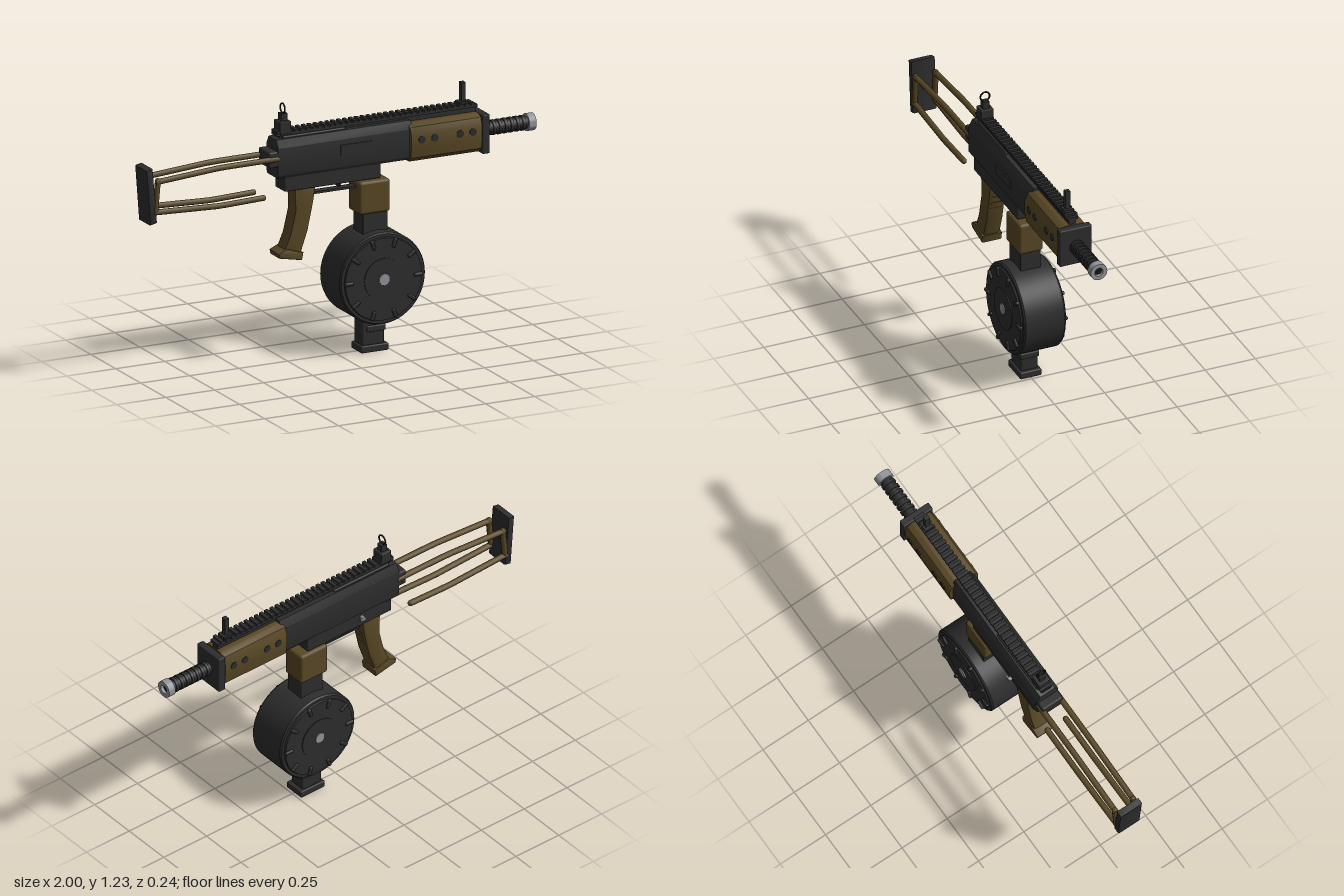
import * as THREE from 'three';
import { toCreasedNormals } from 'three/addons/utils/BufferGeometryUtils.js';
import { RoundedBoxGeometry } from 'three/addons/geometries/RoundedBoxGeometry.js';

const mat = (name, color) => new THREE.MeshStandardMaterial({ name, color });

export function createModel() {
  const root = new THREE.Group();
  const dark = mat('gunmetal', 0x2d2d2d), tan = mat('olive brown', 0x594825);
  const silver = mat('steel', 0x92959b), black = mat('black', 0x161616);

  const add = (name, geo, material, x = 0, y = 0, z = 0) => {
    const m = new THREE.Mesh(geo, material);
    m.name = name;
    m.position.set(x, y, z);
    root.add(m);
    return m;
  };
  // Box given by its limits in x and y and its half depth
  const box = (name, x0, x1, y0, y1, hz, material, r = 0) => {
    const s = [x1 - x0, y1 - y0, hz * 2];
    const g = r ? new RoundedBoxGeometry(...s, 2, r) : new THREE.BoxGeometry(...s);
    return add(name, g, material, (x0 + x1) / 2, (y0 + y1) / 2);
  };
  const extrude = (pts, depth, bevel) => {
    const g = new THREE.ExtrudeGeometry(new THREE.Shape(pts.map(p => new THREE.Vector2(...p))), {
      depth: depth - 2 * bevel, bevelEnabled: bevel > 0, bevelSize: bevel,
      bevelThickness: bevel, bevelOffset: -bevel, bevelSegments: 2 });
    return toCreasedNormals(g.translate(0, 0, bevel), 0.6);
  };
  // Side silhouette extruded symmetrically in z
  const plate = (name, pts, hz, bevel, material) =>
    add(name, extrude(pts, hz * 2, bevel), material, 0, 0, -hz);
  // Mirrored (z, y) cross-section extruded along x
  const along = (name, half, x0, x1, bevel, material) => {
    const pts = [...half, ...half.map(([z, y]) => [-z, y]).reverse()];
    return add(name, extrude(pts, x1 - x0, bevel).rotateY(Math.PI / 2), material, x0);
  };
  const cylX = (name, x0, x1, r, y, material, n = 24) =>
    add(name, new THREE.CylinderGeometry(r, r, x1 - x0, n).rotateZ(-Math.PI / 2), material, (x0 + x1) / 2, y);
  const cylZ = (name, r, z0, z1, x, y, material, n = 24) =>
    add(name, new THREE.CylinderGeometry(r, r, z1 - z0, n).rotateX(Math.PI / 2), material, x, y, (z0 + z1) / 2);

  // Receiver
  along('upperReceiver', [[0.05, 0.89], [0.06, 0.905], [0.06, 1.035], [0.04, 1.072]], -0.33, 0.36, 0.006, dark);
  box('receiverTop', -0.29, 0.03, 1.06, 1.082, 0.034, dark, 0.006);
  box('lowerReceiver', -0.29, 0.2, 0.822, 0.9, 0.05, dark, 0.006);
  add('ejectionCover', new THREE.BoxGeometry(0.16, 0.05, 0.008), dark, 0.07, 0.985, 0.061);
  cylZ('selectorPin', 0.01, -0.07, -0.045, -0.115, 0.87, silver, 12);
  add('selectorLever', new THREE.BoxGeometry(0.03, 0.012, 0.008), silver, -0.11, 0.87, -0.067);

  // Handguard with vent dots on both sides
  along('handguard', [[0.045, 0.878], [0.072, 0.9], [0.08, 0.95], [0.08, 1.01], [0.065, 1.045], [0.04, 1.06]],
    0.34, 0.705, 0.008, tan);
  for (const s of [-1, 1]) for (const x of [0.395, 0.46, 0.59, 0.655])
    cylZ('vent', 0.018, s * 0.08 - 0.003, s * 0.08 + 0.003, x, 0.985, dark, 16);
  box('frontBlock', 0.705, 0.742, 0.872, 1.058, 0.08, dark, 0.005);

  // Barrel with cooling rings and a steel muzzle
  const by = 0.967;
  cylX('barrel', 0.73, 0.97, 0.03, by, dark);
  for (let i = 0; i < 7; i++) cylX('barrelRing', 0.755 + i * 0.03, 0.77 + i * 0.03, 0.036, by, dark);
  const tip = new THREE.Shape().absarc(0, 0, 0.041, 0, Math.PI * 2);
  tip.holes.push(new THREE.Path().absarc(0, 0, 0.021, 0, Math.PI * 2, true));
  add('muzzle', toCreasedNormals(new THREE.ExtrudeGeometry(tip, { depth: 0.036, bevelEnabled: false, curveSegments: 16 })
    .rotateY(Math.PI / 2), 0.6), silver, 0.964, by);
  cylX('bore', 0.965, 0.985, 0.022, by, black, 6);

  // Top rail
  box('rail', -0.32, 0.705, 1.083, 1.097, 0.026, dark);
  box('railBase', -0.3, 0.7, 1.05, 1.085, 0.016, dark);
  for (let i = 0; i < 34; i++) box('railTooth', -0.318 + i * 0.03, -0.301 + i * 0.03, 1.095, 1.107, 0.03, dark);

  // Sights
  box('rearSightBase', -0.305, -0.248, 1.09, 1.15, 0.031, dark, 0.004);
  box('rearSightPost', -0.29, -0.26, 1.14, 1.185, 0.016, dark);
  add('rearSightRing', new THREE.TorusGeometry(0.023, 0.004, 8, 24).rotateY(Math.PI / 2), black, -0.276, 1.206);
  box('frontSightPost', 0.63, 0.651, 1.1, 1.205, 0.012, dark);
  box('frontSightBase', 0.615, 0.665, 1.095, 1.115, 0.022, dark);

  // Skeleton stock
  box('stockMount', -0.372, -0.32, 0.945, 1.02, 0.056, dark, 0.008);
  plate('buttPlate', [[-1, 1.022], [-0.968, 1.028], [-0.945, 0.768], [-0.98, 0.76]], 0.06, 0.006, dark);
  const rod = (name, pts, z) => {
    const path = new THREE.CurvePath();
    const v = pts.map(([x, y]) => new THREE.Vector3(x, y, z));
    for (let i = 1; i < v.length; i++) path.add(new THREE.LineCurve3(v[i - 1], v[i]));
    add(name, new THREE.TubeGeometry(path, 12, 0.014, 8), tan);
    add(name + 'End', new THREE.SphereGeometry(0.0138, 8, 6), tan, ...v[0].toArray());
  };
  for (const z of [-0.05, 0.05]) {
    rod('upperStockRod', [[-0.325, 0.985], [-0.62, 0.984], [-0.95, 0.96]], z);
    rod('lowerStockRod', [[-0.4, 0.81], [-0.62, 0.803], [-0.96, 0.818]], z);
    rod('rearStockRod', [[-0.938, 0.965], [-0.952, 0.812]], z);
  }

  // Pistol grip with finger ridges
  plate('grip', [[-0.235, 0.83], [-0.232, 0.72], [-0.258, 0.61], [-0.292, 0.53], [-0.205, 0.505],
    [-0.165, 0.62], [-0.137, 0.75], [-0.125, 0.83]], 0.043, 0.014, tan);
  plate('gripFoot', [[-0.32, 0.53], [-0.315, 0.508], [-0.2, 0.485], [-0.193, 0.522], [-0.28, 0.548]], 0.05, 0.006, tan);
  for (let i = 0; i < 7; i++) {
    const t = i / 6;
    const ridge = add('gripRidge', new THREE.BoxGeometry(0.02, 0.016, 0.055), tan,
      -0.145 - 0.055 * t + 0.012 * t * (1 - t), 0.75 - 0.2 * t);
    ridge.rotation.z = -0.25;
  }

  // Trigger and guard
  box('triggerGuard', -0.13, 0.1, 0.782, 0.792, 0.02, dark);
  plate('trigger', [[-0.005, 0.83], [0.0, 0.8], [0.012, 0.795], [0.018, 0.81], [0.015, 0.83]], 0.01, 0, black);

  // Magazine well and neck
  box('magazineWell', 0.088, 0.245, 0.66, 0.816, 0.06, tan, 0.014);
  box('magazineNeck', 0.11, 0.236, 0.55, 0.67, 0.05, dark, 0.004);

  // Drum turned around z, with steel hubs and radial studs on both faces
  const cx = 0.183, cy = 0.36;
  const profile = [[0, -0.112], [0.195, -0.112], [0.198, -0.104], [0.212, -0.104], [0.218, -0.096],
    [0.218, 0.096], [0.212, 0.104], [0.198, 0.104], [0.195, 0.112], [0, 0.112]];
  add('drum', toCreasedNormals(new THREE.LatheGeometry(profile.map(p => new THREE.Vector2(...p)), 48)
    .rotateX(Math.PI / 2), 0.5), dark, cx, cy);
  for (const s of [-1, 1]) {
    cylZ('drumDisc', 0.1, s * 0.113 - 0.003, s * 0.113 + 0.003, cx, cy, dark, 32);
    cylZ('drumHub', 0.027, s * 0.115 - 0.006, s * 0.115 + 0.006, cx, cy, silver, 10);
    for (let i = 0; i < 10; i++) {
      const a = i * Math.PI / 5;
      const stud = add('drumStud', new RoundedBoxGeometry(0.046, 0.018, 0.02, 2, 0.007), dark,
        cx + Math.cos(a) * 0.176, cy + Math.sin(a) * 0.176, s * 0.112);
      stud.rotation.z = a;
    }
  }

  // Lower magazine end
  box('magazineTail', 0.11, 0.222, 0.03, 0.16, 0.042, dark, 0.008);
  box('magazineCatch', 0.13, 0.228, 0.095, 0.125, 0.047, dark, 0.006);
  box('magazineFoot', 0.1, 0.24, 0, 0.034, 0.053, dark, 0.006);
  return root;
}
